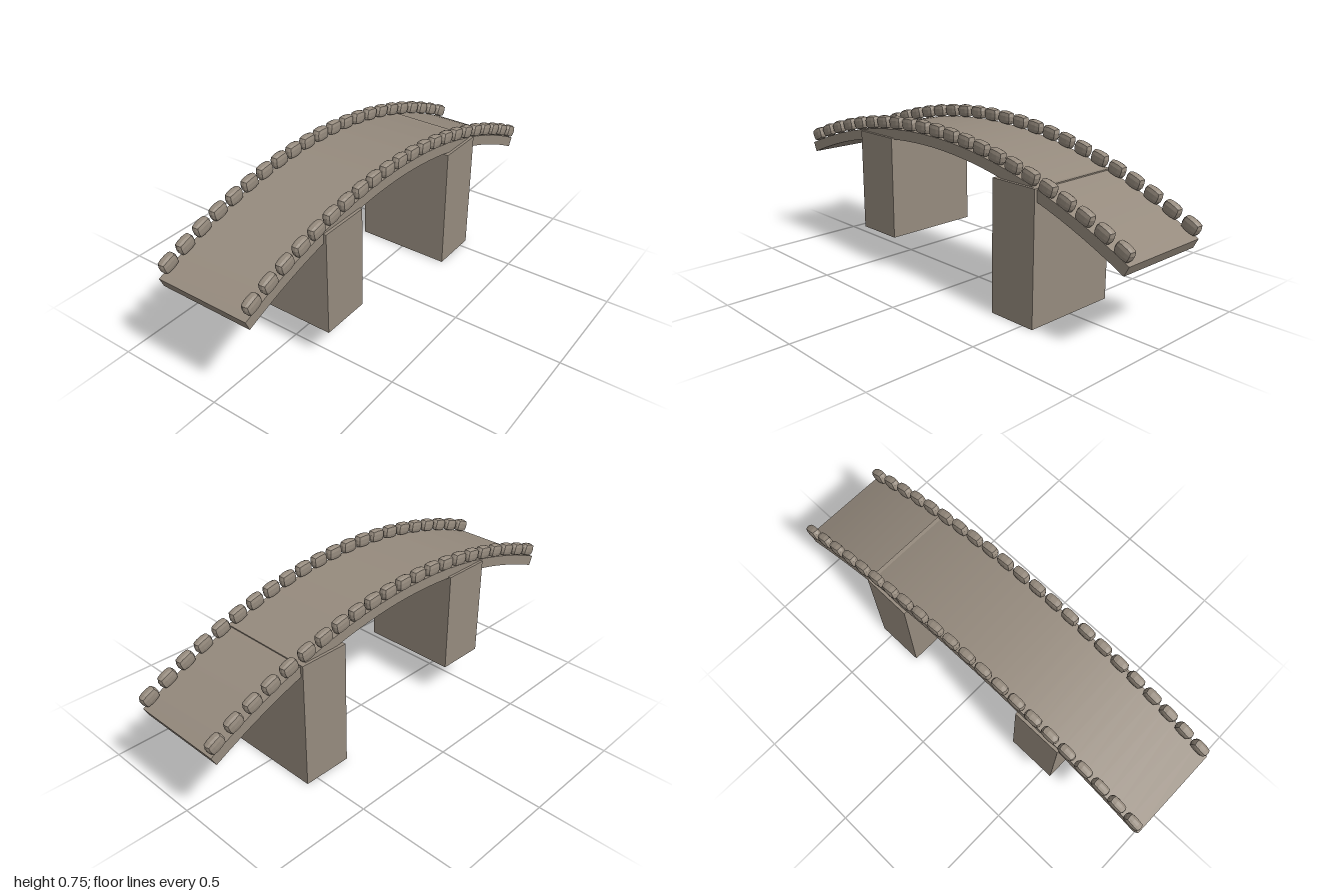
import * as THREE from 'three';
import { toCreasedNormals } from 'three/addons/utils/BufferGeometryUtils.js';

// Arch line of the deck's upper surface, with its slope
const PEAK_Z = 0.12, PEAK_Y = 0.687, CURVE = 0.235;
const archY = z => PEAK_Y - CURVE * (z - PEAK_Z) ** 2;
const archSlope = z => -2 * CURVE * (z - PEAK_Z);

// Point at a height above (or below) the deck, measured square to it
function offArch(z, h) {
  const s = archSlope(z), l = Math.hypot(1, s);
  return new THREE.Vector2(z - (s / l) * h, archY(z) + h / l);
}

function deckGeometry(width, thickness, steps) {
  const top = [], bottom = [];
  for (let i = 0; i <= steps; i++) {
    const z = -1 + (2 * i) / steps;
    top.push(offArch(z, 0));
    bottom.unshift(offArch(z, -thickness));
  }
  const g = new THREE.ExtrudeGeometry(new THREE.Shape([...top, ...bottom]), { depth: width, bevelEnabled: false });
  g.translate(0, 0, -width / 2);
  g.rotateY(-Math.PI / 2);
  return toCreasedNormals(g, 0.5);
}

// Block with its corners pulled in to a soft, faceted stone
function stoneGeometry(w, h, d) {
  const g = new THREE.BoxGeometry(2, 2, 2, 3, 3, 3).toNonIndexed();
  const p = g.attributes.position, v = new THREE.Vector3(), n = 3.8;
  for (let i = 0; i < p.count; i++) {
    v.fromBufferAttribute(p, i);
    const r = (Math.abs(v.x) ** n + Math.abs(v.y) ** n + Math.abs(v.z) ** n) ** (1 / n);
    v.divideScalar(r);
    p.setXYZ(i, v.x * w / 2, v.y * h / 2, v.z * d / 2);
  }
  g.computeVertexNormals();
  return g;
}

export function createModel() {
  const model = new THREE.Group();
  model.name = 'archedBridge';
  const stone = new THREE.MeshStandardMaterial({ color: 0x968b7e });
  stone.name = 'warm grey stone';

  const add = (name, geometry, parent = model) => {
    const mesh = new THREE.Mesh(geometry, stone);
    mesh.name = name;
    parent.add(mesh);
    return mesh;
  };

  // Curved deck
  add('deck', deckGeometry(0.434, 0.047, 32));

  // Two piers of unequal length
  const pier = (name, z, y0, y1) =>
    add(name, new THREE.BoxGeometry(0.46, y1 - y0, 0.23)).position.set(0, (y0 + y1) / 2, z);
  pier('frontPier', 0.445, 0.163, 0.636);
  pier('backPier', -0.44, 0, 0.585);

  // Rows of kerb stones along both edges
  const kerb = stoneGeometry(0.041, 0.06, 0.08);
  const COUNT = 22;
  for (const side of [1, -1]) {
    const row = new THREE.Group();
    row.name = side > 0 ? 'leftKerb' : 'rightKerb';
    model.add(row);
    for (let i = 0; i < COUNT; i++) {
      const z = -0.957 + (1.9 * i) / (COUNT - 1);
      const at = offArch(z, 0.03);
      const mesh = add('kerbStone', kerb, row);
      mesh.position.set(side * 0.208, at.y, at.x);
      mesh.rotation.x = -Math.atan(archSlope(z));
    }
  }
  return model;
}
